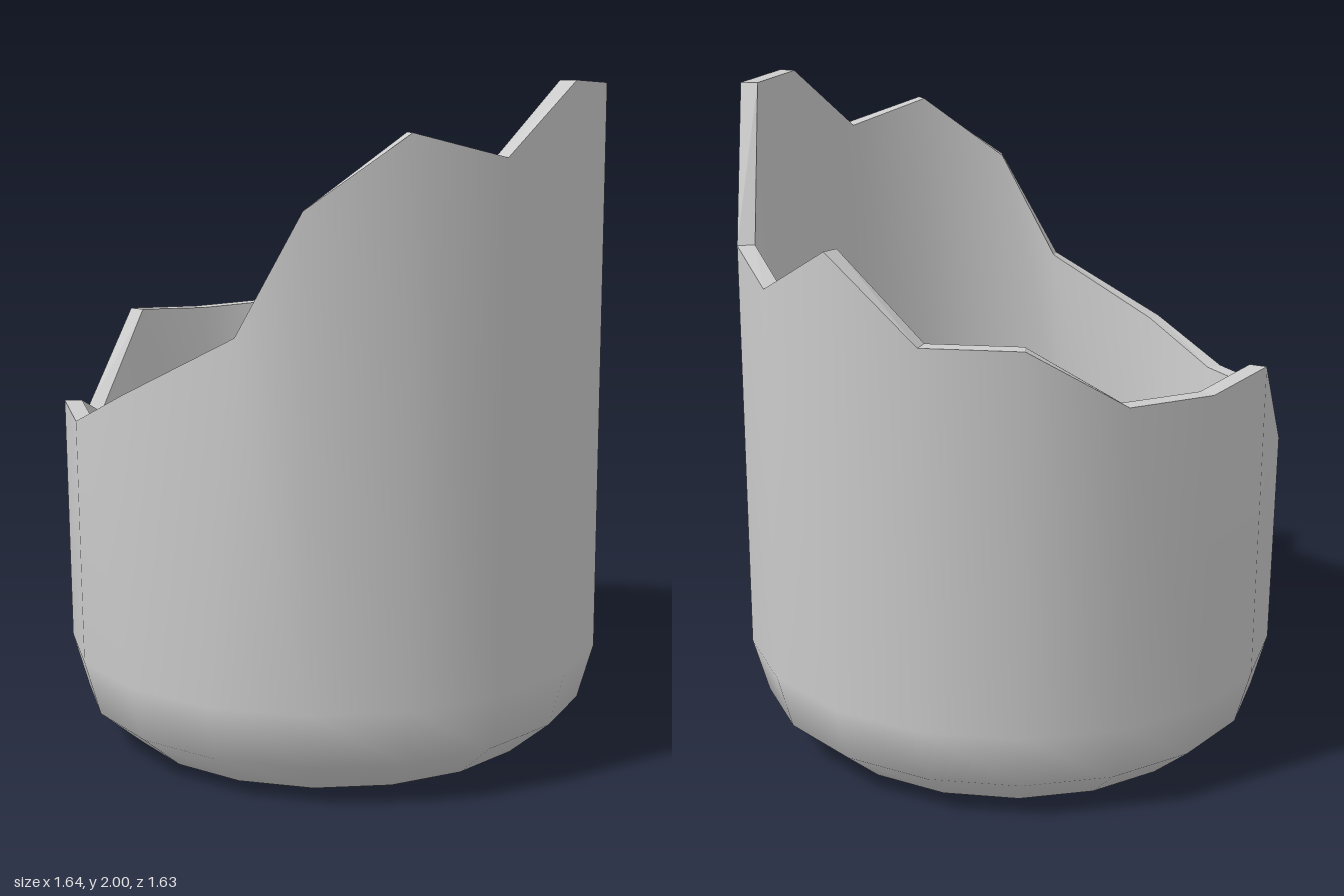
import * as THREE from 'three';

const SIDES = 18;
const STEP = (Math.PI * 2) / SIDES;
const TILT = 0.012;

// Height of the broken rim at each corner, starting at +x and turning towards +z
const RIM = [1.63, 1.48, 1.55, 1.99, 2.0, 1.8, 1.87, 1.67, 1.33,
  1.14, 1.02, 1.03, 0.94, 1.24, 1.22, 1.23, 1.4, 1.4];
const CHIPPED = 8; // this rim corner has slid along its facet

const material = new THREE.MeshStandardMaterial({ color: 0xcccccc });

// Ring of corners at one height, leaning very slightly
function levelRing(radius, y) {
  return RIM.map((_, i) => {
    const z = Math.sin(i * STEP) * radius;
    return [Math.cos(i * STEP) * radius, y + z * TILT, z + 0.006];
  });
}

// Ring of corners following the broken edge
function brokenRing(radius) {
  return RIM.map((y, i) => {
    const chipped = i === CHIPPED;
    const a = chipped ? THREE.MathUtils.degToRad(153.4) : i * STEP;
    const r = chipped ? radius * 0.985 : radius;
    return [Math.cos(a) * r, y, Math.sin(a) * r - 0.003];
  });
}

// Skin a stack of rings with quads
function loft(name, rings, flat = false) {
  const index = [];
  for (let k = 0; k < rings.length - 1; k++) {
    for (let i = 0; i < SIDES; i++) {
      const j = (i + 1) % SIDES;
      const a = k * SIDES + i, b = k * SIDES + j;
      const c = b + SIDES, d = a + SIDES;
      index.push(a, d, c, a, c, b);
    }
  }
  let geometry = new THREE.BufferGeometry();
  geometry.setAttribute('position', new THREE.Float32BufferAttribute(rings.flat(2), 3));
  geometry.setIndex(index);
  if (flat) geometry = geometry.toNonIndexed();
  geometry.computeVertexNormals();
  return named(name, geometry);
}

function named(name, geometry) {
  const mesh = new THREE.Mesh(geometry, material);
  mesh.name = name;
  return mesh;
}

export function createModel() {
  const group = new THREE.Group();
  group.name = 'brokenPot';

  const outerRim = brokenRing(0.822);
  const innerRim = brokenRing(0.77);

  // Rounded foot and straight wall
  group.add(loft('outerWall', [
    levelRing(0.645, 0.008),
    levelRing(0.775, 0.12),
    levelRing(0.822, 0.29),
    outerRim,
  ]));

  // Jagged edge, showing the wall thickness
  group.add(loft('brokenRim', [outerRim, innerRim], true));

  // Inside wall, narrowing down to the raised floor
  group.add(loft('innerWall', [innerRim, levelRing(0.73, 0.52)]));

  const floor = named('floor', new THREE.CircleGeometry(0.73, SIDES));
  floor.rotation.x = -Math.PI / 2 - TILT;
  floor.position.set(0, 0.52, 0.006);
  group.add(floor);

  const base = named('base', new THREE.CircleGeometry(0.645, SIDES));
  base.rotation.x = Math.PI / 2 - TILT;
  base.position.set(0, 0.008, 0.006);
  group.add(base);

  return group;
}
